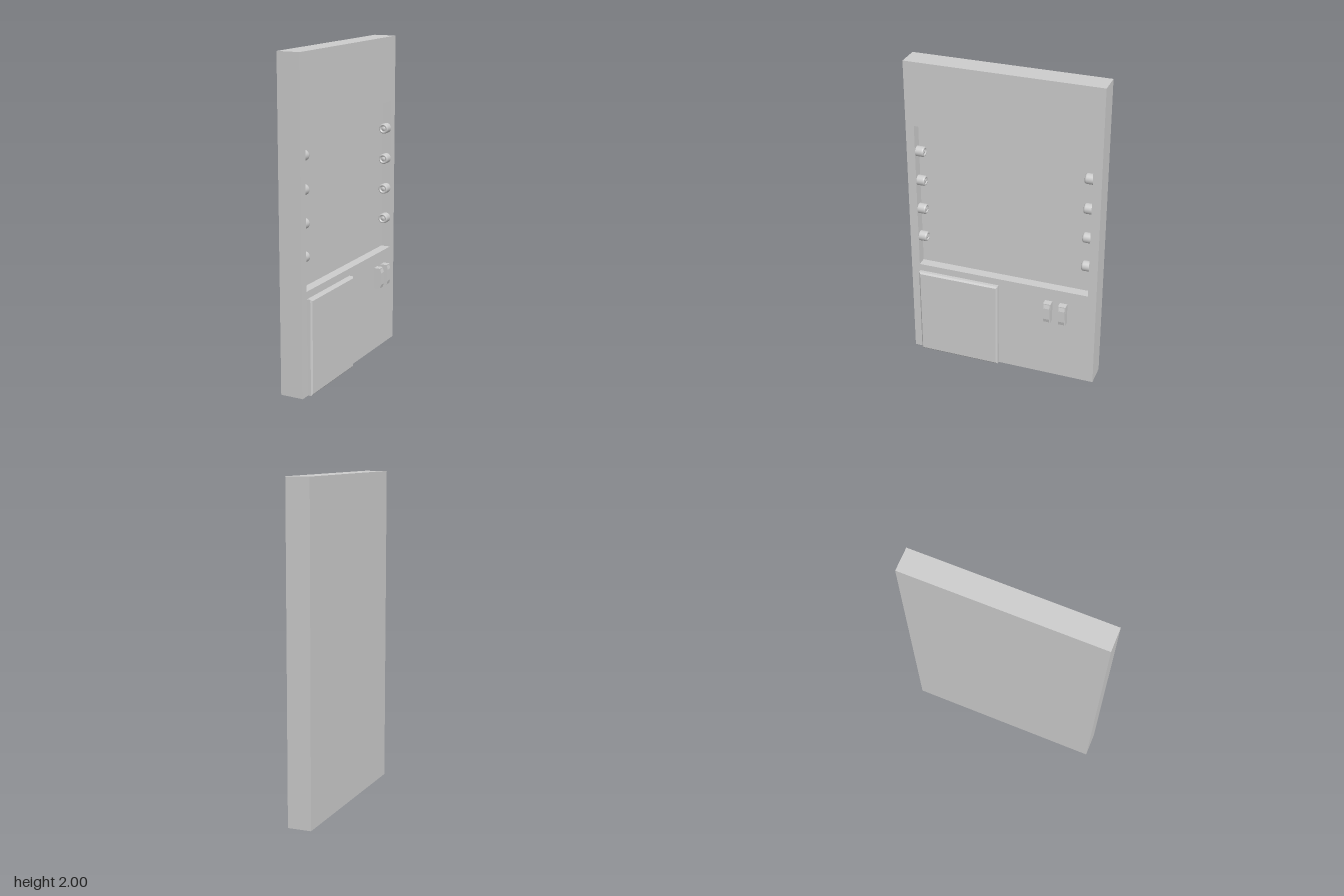
import * as THREE from 'three';

const grey = new THREE.MeshStandardMaterial({ color: 0xcccccc, flatShading: true });
const smoothGrey = new THREE.MeshStandardMaterial({ color: 0xcccccc });

function add(parent, name, geometry, material = grey) {
  const mesh = new THREE.Mesh(geometry, material);
  mesh.name = name;
  parent.add(mesh);
  return mesh;
}

// Box from x0 to x1 whose +x face is drawn in by insetY and insetZ
function block(x0, x1, y0, y1, z0, z1, insetY = 0, insetZ = 0) {
  const g = new THREE.BoxGeometry(x1 - x0, y1 - y0, z1 - z0);
  const p = g.attributes.position;
  for (let i = 0; i < p.count; i++) {
    if (p.getX(i) > 0) {
      p.setY(i, p.getY(i) - Math.sign(p.getY(i)) * insetY);
      p.setZ(i, p.getZ(i) - Math.sign(p.getZ(i)) * insetZ);
    }
  }
  g.translate((x0 + x1) / 2, (y0 + y1) / 2, (z0 + z1) / 2);
  g.computeVertexNormals();
  return g;
}

function rectangle(Path, x0, x1, y0, y1) {
  return new Path([[x0, y0], [x1, y0], [x1, y1], [x0, y1]].map(([x, y]) => new THREE.Vector2(x, y)));
}

export function createModel() {
  const model = new THREE.Group();
  model.name = 'wallPanel';

  // Slab: solid backing plus a frame around the sunken window
  const recessX = -0.022, faceX = 0.04;
  add(model, 'backing', block(-0.105, recessX, 0, 2, -0.607, 0.607));
  const outline = rectangle(THREE.Shape, -0.607, 0.607, 0, 2);
  outline.holes.push(rectangle(THREE.Path, -0.553, 0.553, 0.635, 1.595));
  const frame = new THREE.ExtrudeGeometry(outline, { depth: faceX - recessX, bevelEnabled: false });
  frame.rotateY(Math.PI / 2).translate(recessX, 0, 0);
  add(model, 'frame', frame);

  // Round lamps on both side walls of the recess, each with a dished end
  const profile = [[0.032, 0], [0.032, 0.04], [0.031, 0.046], [0.027, 0.051], [0.021, 0.051],
    [0.019, 0.043], [0.012, 0.043], [0.011, 0.048], [0, 0.049]]
    .map(([r, h]) => new THREE.Vector2(r, h));
  const lampGeometry = new THREE.LatheGeometry(profile, 24);
  for (const side of [-1, 1]) {
    for (let i = 0; i < 4; i++) {
      const lamp = add(model, 'lamp', lampGeometry, smoothGrey);
      lamp.position.set(0.008, 0.83 + i * 0.196, side * 0.553);
      lamp.rotation.x = -side * Math.PI / 2;
    }
  }

  // Raised cover with a bevelled rim
  add(model, 'coverBase', block(faceX, 0.062, 0.003, 0.59, 0.022, 0.55));
  add(model, 'coverFace', block(0.062, 0.071, 0.003, 0.59, 0.022, 0.55, 0.01, 0.01));

  // Pair of rocker switches standing just off the face
  for (const z of [-0.311, -0.407]) {
    const rocker = new THREE.Group();
    rocker.name = 'switch';
    model.add(rocker);
    add(rocker, 'switchBody', block(0.055, 0.097, 0.424, 0.56, z - 0.024, z + 0.024));
    add(rocker, 'switchRocker', block(0.097, 0.104, 0.43, 0.554, z - 0.019, z + 0.019, 0.024, 0));
  }
  return model;
}
